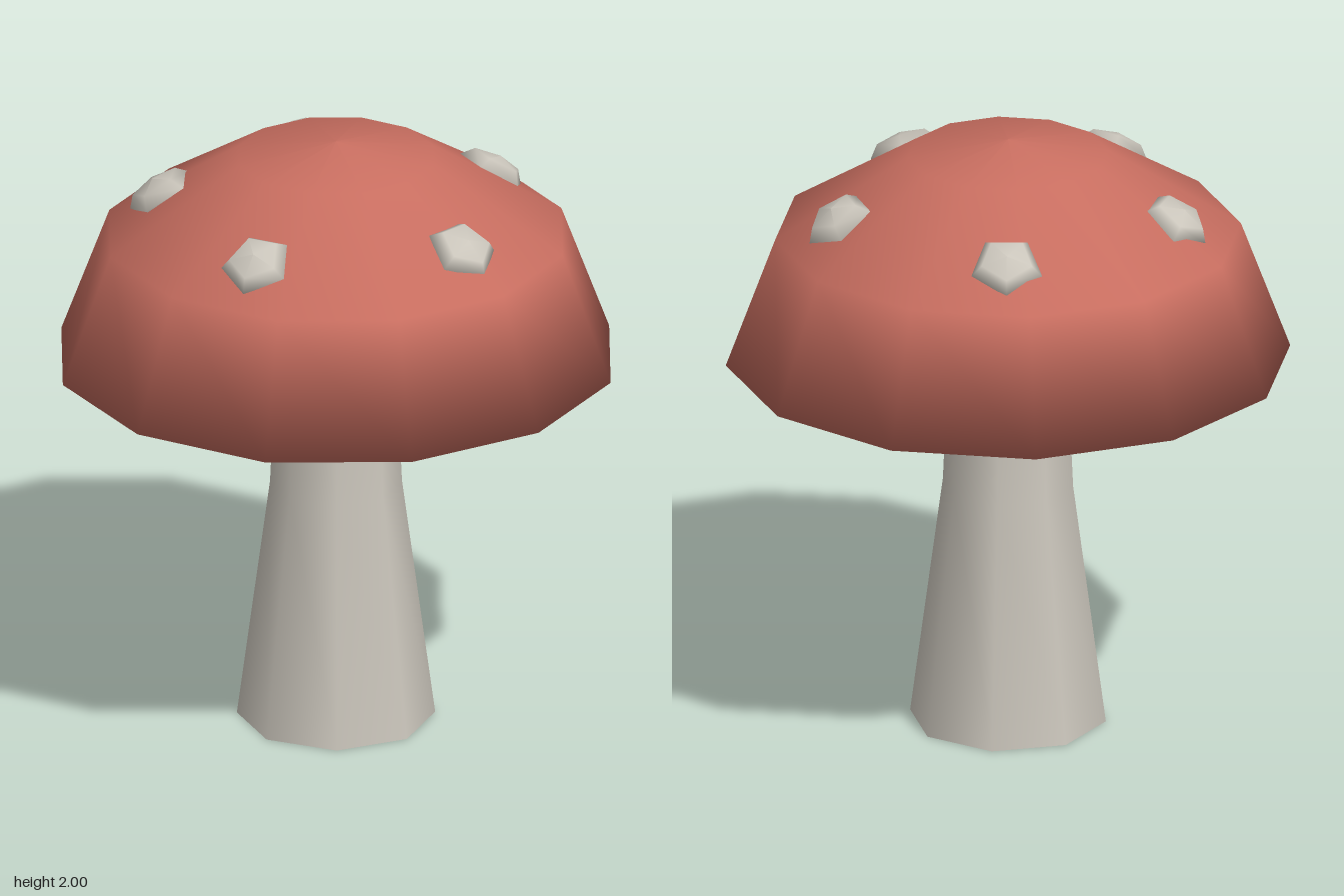
import * as THREE from 'three';

const material = (name, color, side = THREE.FrontSide) => {
  const m = new THREE.MeshStandardMaterial({ color, side });
  m.name = name;
  return m;
};

// Revolve a profile of [radius, height] pairs, listed from bottom to top
const lathe = (name, profile, sides, mat) => {
  const points = profile.map(([r, y]) => new THREE.Vector2(r, y));
  const mesh = new THREE.Mesh(new THREE.LatheGeometry(points, sides), mat);
  mesh.name = name;
  return mesh;
};

export function createModel() {
  const model = new THREE.Group();
  model.name = 'mushroom';
  const red = material('cap red', 0xc86e60);
  const cream = material('stem and spot cream', 0xcac5bb, THREE.DoubleSide);

  // Open, flared stem
  model.add(lathe('stem', [[0.32, 0], [0.213, 0.81], [0.19, 1.33]], 8, cream));

  // Domed cap with a slightly hollow underside
  model.add(lathe('cap',
    [[0, 1.31], [0.915, 1.25], [0.755, 1.68], [0.325, 1.95], [0, 2]], 12, red));

  // Five flattened spots, tilted to lie along the cap
  const spots = new THREE.Group();
  spots.name = 'spots';
  const up = new THREE.Vector3(0, 1, 0);
  for (let i = 0; i < 5; i++) {
    const a = (i / 5) * Math.PI * 2;
    const spot = lathe('spot',
      [[0, -0.057], [0.085, -0.04], [0.12, 0], [0.085, 0.04], [0, 0.057]], 5, cream);
    spot.position.set(Math.sin(a) * 0.57, 1.783, Math.cos(a) * 0.57);
    const normal = new THREE.Vector3(Math.sin(a) * 0.53, 0.85, Math.cos(a) * 0.53).normalize();
    spot.quaternion.setFromUnitVectors(up, normal);
    spots.add(spot);
  }
  model.add(spots);
  return model;
}
